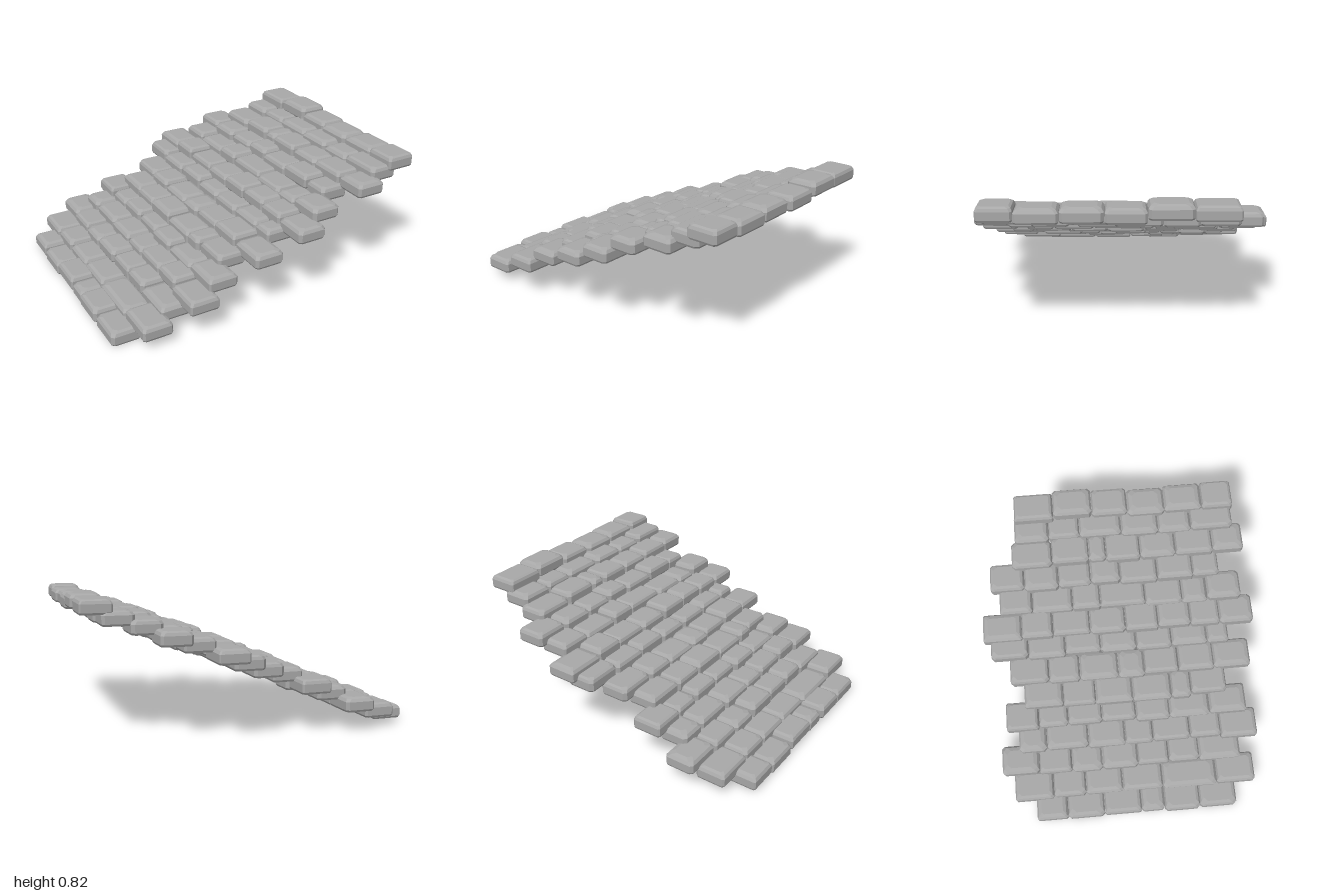
import * as THREE from 'three';

// Each course of stones: centre x, base y, then the z joints from back to front
const COURSES = [
  [-0.905, 0.015, [-0.63, -0.43, -0.19, 0.05, 0.2, 0.43, 0.67]],
  [-0.77, 0.065, [-0.76, -0.51, -0.3, -0.06, 0.2, 0.55, 0.8]],
  [-0.62, 0.125, [-0.83, -0.59, -0.38, -0.18, 0.05, 0.25, 0.45, 0.72]],
  [-0.485, 0.185, [-0.71, -0.53, -0.26, -0.02, 0.16, 0.4, 0.6, 0.84]],
  [-0.345, 0.235, [-0.78, -0.57, -0.38, -0.16, 0.06, 0.28, 0.54, 0.78]],
  [-0.225, 0.295, [-0.65, -0.4, -0.19, 0.05, 0.3, 0.43, 0.66]],
  [-0.075, 0.35, [-0.73, -0.48, -0.28, -0.03, 0.14, 0.36, 0.59, 0.83]],
  [0.08, 0.4, [-0.84, -0.6, -0.36, -0.13, 0.1, 0.33, 0.56, 0.7]],
  [0.195, 0.46, [-0.88, -0.63, -0.43, -0.19, 0.04, 0.25, 0.46, 0.65, 0.87]],
  [0.34, 0.51, [-0.76, -0.55, -0.29, -0.11, 0.18, 0.42, 0.58, 0.8]],
  [0.485, 0.57, [-0.81, -0.59, -0.37, -0.16, 0.03, 0.27, 0.5, 0.67]],
  [0.625, 0.62, [-0.66, -0.4, -0.16, -0.05, 0.17, 0.4, 0.64, 0.84]],
  [0.775, 0.67, [-0.63, -0.41, -0.21, 0.06, 0.3, 0.51, 0.78]],
  [0.895, 0.725, [-0.62, -0.37, -0.12, 0.11, 0.35, 0.59, 0.79]],
];
const WIDTH = 0.185;

// Small seeded generator, -1 to 1
function makeJitter(seed) {
  return () => {
    seed = (seed * 16807) % 2147483647;
    return (seed / 2147483647) * 2 - 1;
  };
}

// Stone with clipped corners, straight sides and a rounded-over top
function stoneGeometry(width, length, jitter) {
  const cut = 0.014 + 0.006 * jitter();
  const round = 1 + 0.3 * jitter();
  // height, inset from the sides, corner cut
  const rings = [
    [0, 0.006, cut],
    [0.012, 0, cut],
    [0.06, 0, cut],
    [0.077, 0.01 * round, cut * 1.2],
    [0.085, 0.028 * round, cut * 1.4],
  ].map(([y, inset, c]) => {
    const x = width / 2 - inset, z = length / 2 - inset;
    return [
      [x, z - c], [x, c - z], [x - c, -z], [c - x, -z],
      [-x, c - z], [-x, z - c], [c - x, z], [x - c, z],
    ].map(([px, pz]) => [px, y, pz]);
  });
  const out = [];
  const tri = (a, b, c) => out.push(...a, ...b, ...c);
  for (let r = 0; r < rings.length - 1; r++) {
    for (let i = 0; i < 8; i++) {
      const j = (i + 1) % 8, lo = rings[r], hi = rings[r + 1];
      tri(lo[i], lo[j], hi[j]);
      tri(lo[i], hi[j], hi[i]);
    }
  }
  const top = rings[rings.length - 1], bottom = rings[0];
  for (let i = 1; i < 7; i++) {
    tri(top[0], top[i], top[i + 1]);
    tri(bottom[0], bottom[i + 1], bottom[i]);
  }
  const geometry = new THREE.BufferGeometry();
  geometry.setAttribute('position', new THREE.Float32BufferAttribute(out, 3));
  geometry.computeVertexNormals(); // unshared corners give flat facets
  return geometry;
}

export function createModel() {
  const model = new THREE.Group();
  model.name = 'slopingStones';
  const stoneGrey = new THREE.MeshStandardMaterial({ color: 0xa8a8a8 });
  stoneGrey.name = 'stone grey';
  const jitter = makeJitter(4711);

  COURSES.forEach(([x, y, joints], row) => {
    const course = new THREE.Group();
    course.name = `stoneCourse${row + 1}`;
    for (let i = 0; i < joints.length - 1; i++) {
      const length = joints[i + 1] - joints[i] - 0.002;
      const stone = new THREE.Mesh(stoneGeometry(WIDTH, length, jitter), stoneGrey);
      stone.name = `stone${i + 1}`;
      stone.position.set(
        x + 0.01 * jitter(),
        Math.max(0, y + 0.013 * jitter()),
        (joints[i] + joints[i + 1]) / 2,
      );
      course.add(stone);
    }
    model.add(course);
  });
  return model;
}
